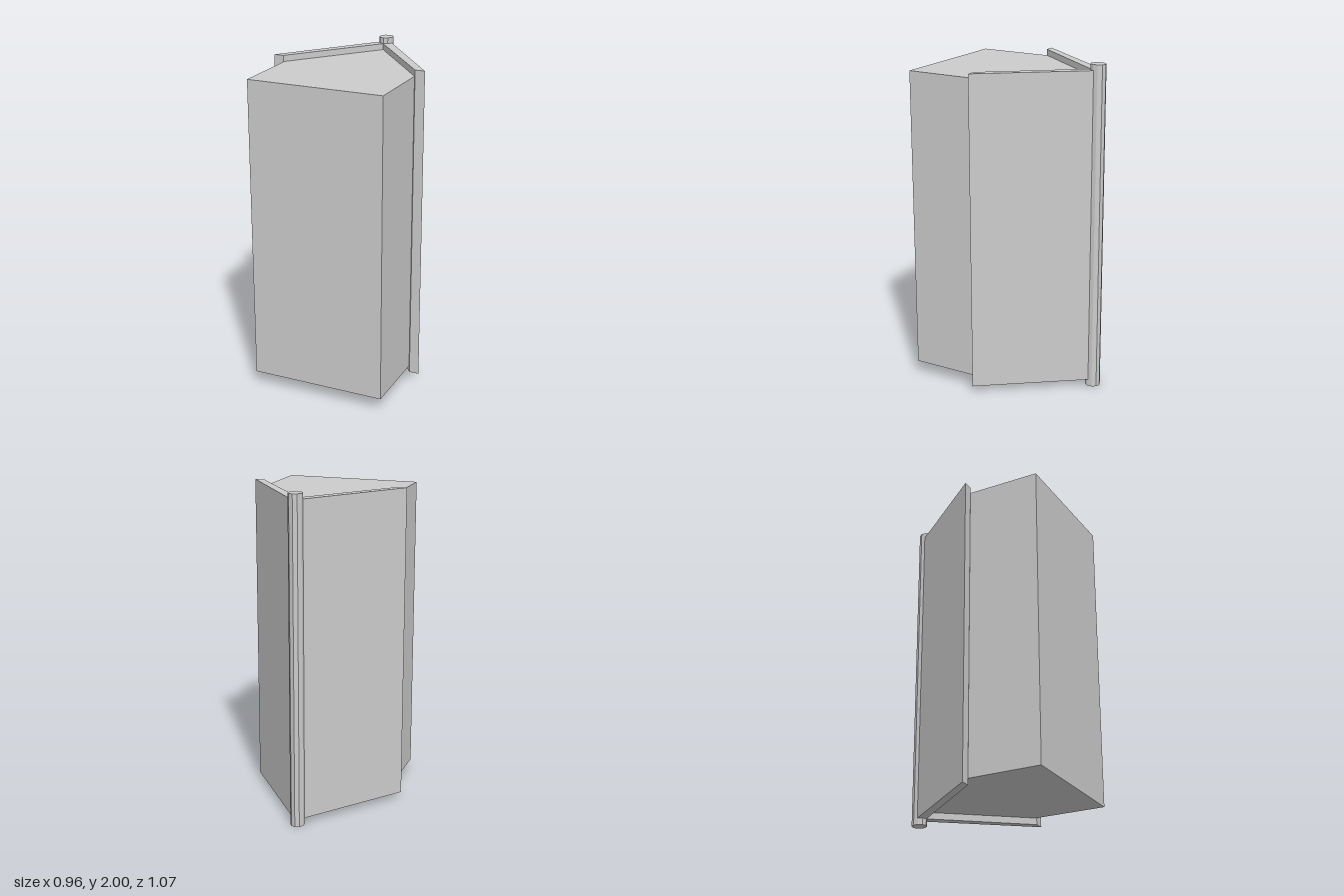
import * as THREE from 'three';

const material = new THREE.MeshStandardMaterial({ color: 0xcccccc, flatShading: true });

// Upright prism from an outline of [x, z] points, between two heights
function prism(name, outline, bottom, top) {
  const shape = new THREE.Shape(outline.map(([x, z]) => new THREE.Vector2(x, -z)));
  const geometry = new THREE.ExtrudeGeometry(shape, { depth: top - bottom, bevelEnabled: false });
  geometry.rotateX(-Math.PI / 2);
  geometry.translate(0, bottom, 0);
  const mesh = new THREE.Mesh(geometry, material);
  mesh.name = name;
  return mesh;
}

export function createModel() {
  const group = new THREE.Group();
  group.name = 'gabledHouse';

  // Five-sided house body, its gable pointing to the back
  group.add(prism('body', [
    [-0.415, 0.533], [0.415, 0.533], [0.415, 0.083], [0, -0.436], [-0.415, 0.083],
  ], 0.08, 1.928));

  // Two sloping roof panels meeting at the ridge
  for (const [name, s] of [['roofLeft', 1], ['roofRight', -1]]) {
    group.add(prism(name, [
      [0, -0.53], [0.479 * s, 0.085], [0.419 * s, 0.085], [0, -0.437],
    ], 0.04, 1.965));
  }

  // Ten-sided ridge pole, slightly flattened across
  const ridge = new THREE.Mesh(new THREE.CylinderGeometry(0.0475, 0.0475, 2, 10), material);
  ridge.name = 'ridgePole';
  ridge.scale.x = 0.91;
  ridge.position.set(0, 1, -0.487);
  group.add(ridge);

  return group;
}
